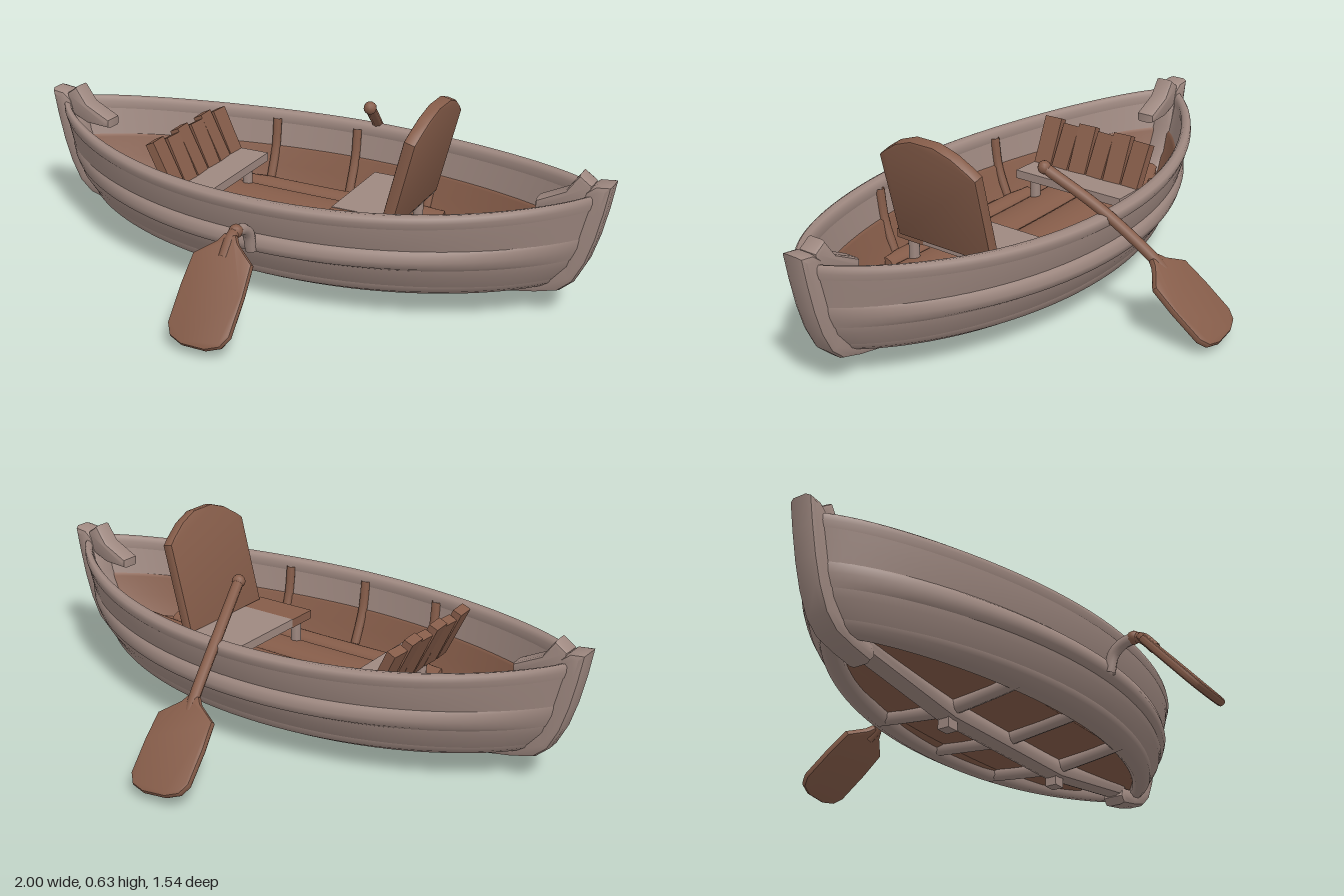
import * as THREE from 'three';
import { toCreasedNormals } from 'three/addons/utils/BufferGeometryUtils.js';

const greyWood = new THREE.MeshStandardMaterial({ color: 0x9e8880, side: THREE.DoubleSide });
greyWood.name = 'grey wood';
const brownWood = new THREE.MeshStandardMaterial({ color: 0x855c49, side: THREE.DoubleSide });
brownWood.name = 'brown wood';

const V = (x, y, z) => new THREE.Vector3(x, y, z);
// Share of the full beam left at u, from 0 amidships to 1 at the stem
const taper = (u) => Math.pow(Math.max(0, 1 - u * u), 0.75);

function add(parent, name, geometry, material, x = 0, y = 0, z = 0) {
  const mesh = new THREE.Mesh(geometry, material);
  mesh.name = name;
  mesh.position.set(x, y, z);
  parent.add(mesh);
  return mesh;
}

// Skin running bow to stern; each row is [half width, middle height, half length, end height]
function skin(rows, side) {
  const N = 48, pos = [], idx = [];
  for (const [w, y, len, yEnd] of rows) {
    for (let i = 0; i <= N; i++) {
      const u = Math.sin((i / N - 0.5) * Math.PI);
      pos.push(u * len, y + (yEnd - y) * Math.pow(Math.abs(u), 2.5), side * w * taper(u));
    }
  }
  for (let r = 0; r < rows.length - 1; r++) {
    for (let i = 0; i < N; i++) {
      const a = r * (N + 1) + i, b = a + N + 1;
      if (side > 0) idx.push(a, b, a + 1, b, b + 1, a + 1);
      else idx.push(a, a + 1, b, b, a + 1, b + 1);
    }
  }
  const g = new THREE.BufferGeometry();
  g.setAttribute('position', new THREE.Float32BufferAttribute(pos, 3));
  g.setIndex(idx);
  g.computeVertexNormals();
  return g;
}

// Rounded plank along x, trimmed to the hull sides and rising towards the ends
function floorPlank(z, width, length) {
  const g = new THREE.CylinderGeometry(0.5, 0.5, length, 16, 24);
  g.rotateZ(Math.PI / 2);
  g.scale(1, 0.055, width);
  g.translate(0, 0.12, z);
  const p = g.attributes.position;
  for (let i = 0; i < p.count; i++) {
    const x = p.getX(i), limit = 0.295 * taper(x / 0.83);
    p.setY(i, p.getY(i) + 0.03 * Math.pow(Math.abs(x / 0.8), 2.5));
    p.setZ(i, THREE.MathUtils.clamp(p.getZ(i), -limit, limit));
  }
  g.computeVertexNormals();
  return g;
}

const tube = (points, r, seg = 16) =>
  new THREE.TubeGeometry(new THREE.CatmullRomCurve3(points), seg, r, 8, false);

// Extruded outline, centred on its thickness, with softened edges
function slab(points, depth, bevel = 0.008) {
  const shape = new THREE.Shape(points.map(([x, y]) => new THREE.Vector2(x, y)));
  const g = new THREE.ExtrudeGeometry(shape, {
    depth: depth - 2 * bevel, bevelEnabled: true, bevelThickness: bevel,
    bevelSize: bevel, bevelOffset: -bevel, bevelSegments: 2,
  });
  g.translate(0, 0, -depth / 2 + bevel);
  return toCreasedNormals(g, 0.7);
}

// Shaft with rounded grip, and a flat blade from neck to tip
function oar(name, path, neck, tip) {
  const g = new THREE.Group();
  g.name = name;
  add(g, 'oarShaft', tube(path, 0.018, 24), brownWood);
  add(g, 'oarGrip', new THREE.SphereGeometry(0.022, 10, 8), brownWood, ...path[0].toArray());
  const len = neck.distanceTo(tip);
  const half = [[0.02, 0], [0.035, 0.07], [0.065, 0.14], [0.1, 0.22], [0.106, 0.5], [0.105, 0.85], [0.085, 0.95], [0.04, 1]]
    .map(([x, t]) => [x, t * len]);
  const outline = [...half, ...half.map(([x, y]) => [-x, y]).reverse()];
  const blade = add(g, 'oarBlade', slab(outline, 0.026, 0.01), brownWood, ...neck.toArray());
  const d = tip.clone().sub(neck).normalize();
  const s = V(1, 0, 0).addScaledVector(d, -d.x).normalize();
  blade.quaternion.setFromRotationMatrix(new THREE.Matrix4().makeBasis(s, d, s.clone().cross(d)));
  return g;
}

export function createModel() {
  const boat = new THREE.Group();
  boat.name = 'rowingBoat';
  const hull = new THREE.Group();
  hull.name = 'hull';
  hull.position.z = 0.02;
  boat.add(hull);

  // Planking, lining and gunwale on both sides
  const skins = [
    ['upperStrake', greyWood, [[0.405, 0.35, 0.97, 0.41], [0.4, 0.3, 0.955, 0.35], [0.38, 0.245, 0.94, 0.28]]],
    ['lowerStrake', greyWood, [[0.375, 0.255, 0.94, 0.288], [0.393, 0.242, 0.94, 0.275], [0.402, 0.218, 0.935, 0.25],
      [0.395, 0.195, 0.925, 0.225], [0.375, 0.185, 0.92, 0.21]]],
    ['bilgeStrake', greyWood, [[0.378, 0.2, 0.92, 0.22], [0.368, 0.16, 0.91, 0.185], [0.335, 0.11, 0.87, 0.135]]],
    ['bilgeRail', greyWood, [[0.34, 0.118, 0.87, 0.14], [0.335, 0.095, 0.86, 0.12], [0.3, 0.075, 0.84, 0.105],
      [0.265, 0.072, 0.81, 0.1], [0.25, 0.085, 0.79, 0.11], [0.25, 0.11, 0.79, 0.13]]],
    ['bottomPlanking', brownWood, [[0.31, 0.11, 0.84, 0.14], [0.15, 0.09, 0.81, 0.135], [0, 0.08, 0.8, 0.13]]],
    ['upperLining', greyWood, [[0.37, 0.35, 0.95, 0.41], [0.352, 0.235, 0.91, 0.28]]],
    ['lowerLining', brownWood, [[0.355, 0.243, 0.91, 0.285], [0.342, 0.238, 0.9, 0.275], [0.33, 0.18, 0.88, 0.21],
      [0.29, 0.1, 0.83, 0.13]]],
    ['gunwale', greyWood, [[0.405, 0.325, 0.965, 0.38], [0.414, 0.345, 0.97, 0.4], [0.41, 0.36, 0.97, 0.417],
      [0.395, 0.367, 0.965, 0.425], [0.372, 0.363, 0.95, 0.42], [0.36, 0.35, 0.94, 0.405], [0.365, 0.325, 0.94, 0.38]]],
  ];
  for (const [name, material, rows] of skins) {
    for (const side of [1, -1]) add(hull, name, skin(rows, side), material);
  }

  // Stem post and knee at each end
  for (const turn of [0, Math.PI]) {
    const end = new THREE.Group();
    end.name = turn ? 'rightEnd' : 'leftEnd';
    end.rotation.y = turn;
    hull.add(end);
    add(end, 'stemPost', slab([[1, 0.46], [0.985, 0.37], [0.965, 0.28], [0.94, 0.2], [0.905, 0.13], [0.86, 0.09], [0.79, 0.07],
      [0.71, 0.055], [0.69, 0.08], [0.7, 0.115], [0.79, 0.13], [0.85, 0.19], [0.89, 0.3], [0.92, 0.43], [0.95, 0.455]],
      0.085, 0.02), greyWood);
    add(end, 'stemKnee', slab([[0.94, 0.45], [0.9, 0.478], [0.86, 0.42], [0.77, 0.375], [0.77, 0.345], [0.86, 0.35], [0.93, 0.38]],
      0.07, 0.012), greyWood);
  }

  // Keel, feet and cross ribs
  add(hull, 'keel', slab([[-0.74, 0.09], [-0.3, 0.028], [0.3, 0.028], [0.74, 0.09], [0.74, 0.15], [0.3, 0.095], [-0.3, 0.095],
    [-0.74, 0.15]], 0.075, 0.024), greyWood);
  for (const x of [-0.3, 0.3]) add(hull, 'keelFoot', new THREE.BoxGeometry(0.045, 0.06, 0.04), greyWood, x, 0.03, 0);
  for (const x of [-0.3, 0, 0.3]) {
    const k = taper(x / 0.93);
    add(hull, 'bottomRib', tube([V(x, 0.1, -0.29 * k), V(x, 0.082, -0.13), V(x, 0.07, 0), V(x, 0.082, 0.13), V(x, 0.1, 0.29 * k)],
      0.024), greyWood);
    for (const s of [1, -1]) {
      add(hull, 'sideRib', tube([V(x, 0.345, s * 0.362 * k), V(x, 0.24, s * 0.345 * k), V(x, 0.13, s * 0.3 * k)], 0.016), brownWood);
    }
  }

  // Floor planks
  for (const [z, width, length] of [[0, 0.15, 1.6], [0.145, 0.14, 1.3], [-0.145, 0.14, 1.3], [0.25, 0.08, 0.76], [-0.25, 0.08, 0.76]]) {
    add(hull, 'floorPlank', floorPlank(z, width, length), brownWood);
  }

  // Wide seat with a tall backrest
  add(hull, 'wideSeat', new THREE.BoxGeometry(0.22, 0.03, 0.33), greyWood, 0.24, 0.24, -0.06);
  add(hull, 'wideSeatInset', new THREE.BoxGeometry(0.22, 0.03, 0.11), brownWood, 0.24, 0.238, 0.16);
  const back = add(hull, 'tallBackrest', slab([[-0.19, 0], [0.19, 0], [0.19, 0.305], [0.165, 0.325], [0.11, 0.362], [0.045, 0.386],
    [-0.045, 0.386], [-0.11, 0.362], [-0.165, 0.325], [-0.19, 0.305]], 0.04).rotateY(Math.PI / 2), brownWood, 0.35, 0.25, 0);
  back.rotation.z = -0.25;

  // Narrow seat with a slatted backrest
  add(hull, 'narrowSeat', new THREE.BoxGeometry(0.12, 0.03, 0.44), greyWood, -0.34, 0.24, 0);
  for (let i = 0; i < 6; i++) {
    const h = 0.175 + 0.012 * (i % 2);
    const slat = new THREE.BoxGeometry(0.032, h, 0.068);
    slat.translate(0, h / 2, 0);
    const mesh = add(hull, 'backSlat', slat, brownWood, -0.395, 0.235, -0.185 + i * 0.074);
    mesh.rotation.set(0, 0.06 * (i % 2 ? 1 : -1), 0.44);
  }

  // Seat legs
  for (const x of [-0.34, 0.17, 0.31]) {
    for (const z of [-0.18, 0.18]) add(hull, 'seatLeg', new THREE.CylinderGeometry(0.018, 0.018, 0.12, 8), greyWood, x, 0.175, z);
  }

  // Oars and the bracket holding the front one
  boat.add(oar('backOar', [V(0.12, 0.49, -0.18), V(0.065, 0.375, -0.36), V(0.025, 0.25, -0.52), V(0.015, 0.21, -0.56)],
    V(0.022, 0.245, -0.525), V(-0.015, 0.03, -0.765)));
  boat.add(oar('frontOar', [V(0, 0.297, 0.505), V(0, 0.287, 0.535), V(0, 0.24, 0.578)], V(0, 0.295, 0.53), V(0, 0.03, 0.76)));
  add(boat, 'oarBracket', tube([V(0, 0.2, 0.415), V(0, 0.26, 0.432), V(0, 0.287, 0.465), V(0, 0.297, 0.51)], 0.019), greyWood);
  return boat;
}
